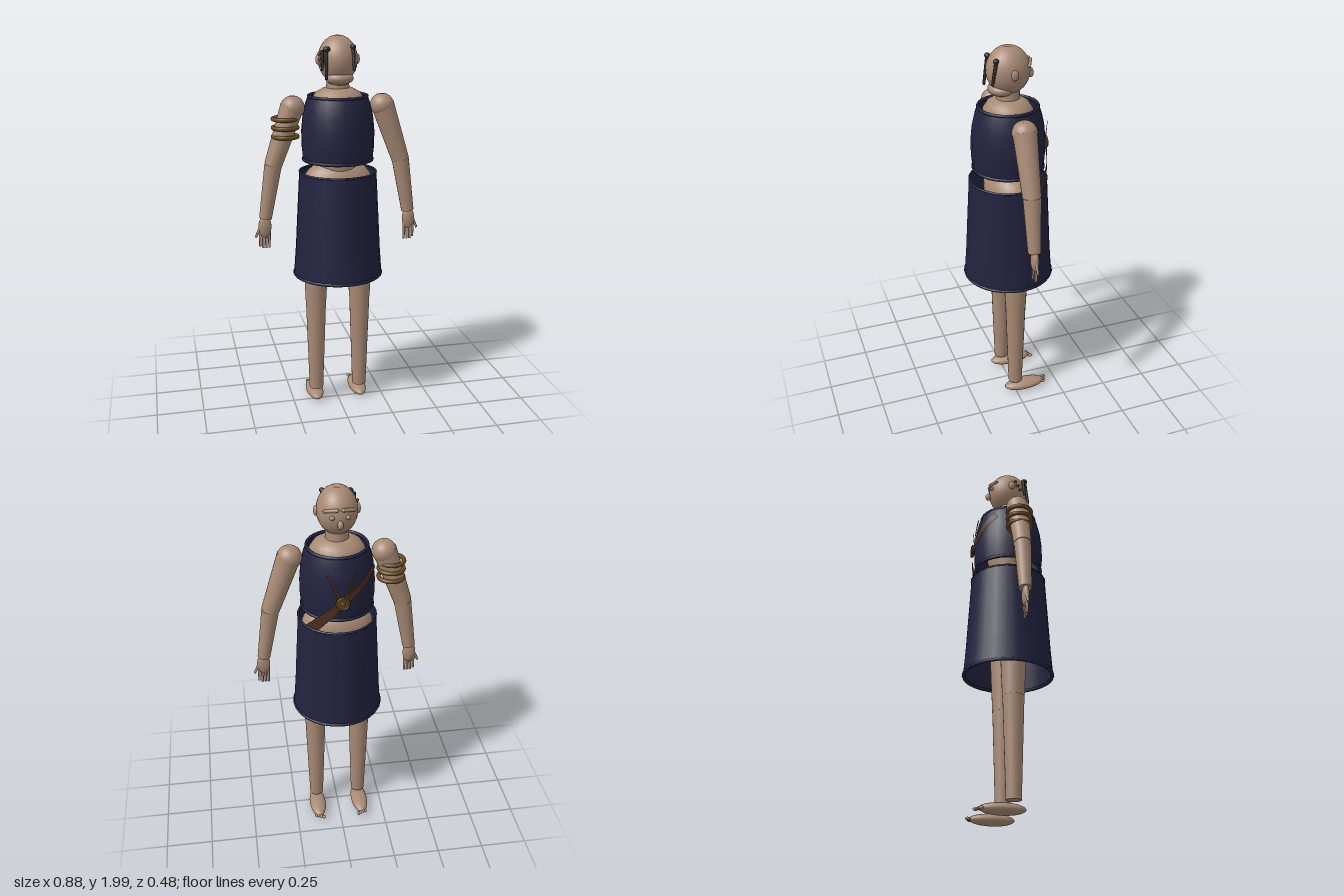
import * as THREE from 'three';

const mat = (name, color, side = THREE.FrontSide) => {
  const m = new THREE.MeshStandardMaterial({ color, side });
  m.name = name;
  return m;
};

export function createModel() {
  const root = new THREE.Group();
  root.name = 'robedFigure';
  const skin = mat('skin', 0xa88a75);
  const cloth = mat('navyCloth', 0x22223f, THREE.DoubleSide);
  const leather = mat('leather', 0x4a2c20, THREE.DoubleSide);
  const bronze = mat('bronze', 0x66481f);
  const hair = mat('darkHair', 0x2c2723);

  const add = (name, geo, material, parent = root) => {
    const m = new THREE.Mesh(geo, material);
    m.name = name;
    parent.add(m);
    return m;
  };
  const V = (x, y, z) => new THREE.Vector3(x, y, z);
  const ball = (name, p, s, material = skin, parent = root) => {
    const m = add(name, new THREE.SphereGeometry(1, 24, 16), material, parent);
    m.position.set(...p);
    m.scale.set(...s);
    return m;
  };
  // tapered round limb from a to b
  const limb = (name, a, b, ra, rb, material = skin, parent = root, sides = 20) => {
    const A = V(...a), B = V(...b);
    const m = add(name, new THREE.CylinderGeometry(rb, ra, A.distanceTo(B), sides), material, parent);
    m.position.copy(A).add(B).multiplyScalar(0.5);
    m.quaternion.setFromUnitVectors(V(0, 1, 0), B.sub(A).normalize());
    return m;
  };
  const lathe = (name, pts, material, sides = 24) =>
    add(name, new THREE.LatheGeometry(pts.map((p) => new THREE.Vector2(...p)), sides), material);
  const hoop = (name, r, tube, p, material) => {
    const m = add(name, new THREE.TorusGeometry(r, tube, 8, 28), material);
    m.rotation.x = Math.PI / 2;
    m.position.set(...p);
    return m;
  };
  // ball with a small dip at the top
  const dimpledBall = (name, p, s, parent = root) => {
    const pts = [];
    for (let i = 0; i <= 14; i++) {
      const a = -Math.PI / 2 + (i / 14) * Math.PI * 0.93;
      pts.push(new THREE.Vector2(i ? Math.cos(a) : 0, Math.sin(a)));
    }
    pts.push(new THREE.Vector2(0.2, 0.965), new THREE.Vector2(0, 0.92));
    const m = add(name, new THREE.LatheGeometry(pts, 24), skin, parent);
    m.position.set(...p);
    m.scale.set(...s);
  };

  // Torso, pelvis and neck
  const torso = lathe('torso', [[0.1, 1.25], [0.11, 1.38], [0.14, 1.5], [0.148, 1.6],
    [0.138, 1.68], [0.115, 1.715], [0.075, 1.738], [0, 1.745]], skin);
  torso.scale.z = 0.9;
  ball('pelvis', [0, 1.25, 0], [0.185, 0.125, 0.12]);
  limb('neck', [0, 1.7, 0], [0, 1.8, 0], 0.062, 0.055);

  // Head and face, looking toward -z
  dimpledBall('head', [0, 1.88, 0], [0.1, 0.12, 0.11]);
  ball('jaw', [0, 1.79, 0.035], [0.072, 0.036, 0.066]);
  ball('nose', [0, 1.85, -0.115], [0.014, 0.022, 0.017]);
  for (const s of [1, -1]) {
    ball('ear', [s * 0.102, 1.88, 0], [0.011, 0.026, 0.019]);
    ball('eye', [s * 0.037, 1.882, -0.101], [0.013, 0.011, 0.01]);
    limb('brow', [s * 0.07, 1.91, -0.083], [s * 0.014, 1.922, -0.108], 0.008, 0.009, skin, root, 10);
    ball('browEnd', [s * 0.07, 1.91, -0.083], [0.008, 0.008, 0.008]);
    ball('browEnd', [s * 0.014, 1.922, -0.108], [0.009, 0.009, 0.009]);
  }

  // Hair locks, one of them beaded
  limb('rightLock', [-0.075, 1.94, 0.078], [-0.078, 1.79, 0.098], 0.01, 0.007, hair, root, 8);
  limb('rightSideLock', [-0.092, 1.93, 0.065], [-0.094, 1.83, 0.075], 0.009, 0.006, hair, root, 8);
  limb('leftLock', [0.06, 1.95, 0.078], [0.062, 1.83, 0.1], 0.01, 0.007, hair, root, 8);
  ball('lockRoot', [-0.073, 1.935, 0.08], [0.018, 0.014, 0.014], hair);
  ball('lockRoot', [0.06, 1.945, 0.08], [0.014, 0.012, 0.014], hair);
  for (let i = 0; i < 3; i++)
    ball('bead', [-0.099, 1.91 - i * 0.025, 0.02 + i * 0.014], [0.009, 0.009, 0.009], bronze);

  // Bodice and skirt, open shells with rolled hems
  lathe('bodice', [[0.18, 1.375], [0.187, 1.44], [0.188, 1.52], [0.18, 1.6],
    [0.166, 1.66], [0.152, 1.698]], cloth);
  hoop('bodiceNeckHem', 0.149, 0.008, [0, 1.698, 0], cloth);
  hoop('bodiceLowerHem', 0.178, 0.009, [0, 1.375, 0], cloth);
  lathe('skirt', [[0.235, 0.755], [0.224, 0.9], [0.213, 1.1], [0.201, 1.31]], cloth);
  hoop('skirtHem', 0.231, 0.009, [0, 0.757, 0], cloth);
  hoop('skirtWaist', 0.198, 0.006, [0, 1.308, 0], cloth);

  // Straps wrapped around the bodice; t is the angle from -z toward +x
  const strap = (name, [t0, y0], [t1, y1], w0, w1, r) => {
    const g = new THREE.PlaneGeometry(1, 1, 8, 1);
    const p = g.attributes.position;
    const dx = (t1 - t0) * r, dy = y1 - y0, len = Math.hypot(dx, dy);
    for (let i = 0; i < p.count; i++) {
      const u = p.getX(i) + 0.5, v = p.getY(i) * (w0 + (w1 - w0) * u);
      const t = t0 + (t1 - t0) * u - (v * dy) / len / r;
      p.setXYZ(i, r * Math.sin(t), y0 + dy * u + (v * dx) / len, -r * Math.cos(t));
    }
    g.computeVertexNormals();
    add(name, g, leather);
  };
  strap('shoulderStrap', [-1.0, 1.63], [0.02, 1.48], 0.045, 0.04, 0.196);
  strap('waistStrap', [0.02, 1.48], [0.9, 1.3], 0.04, 0.06, 0.198);
  strap('leftCord', [0.36, 1.63], [0.02, 1.48], 0.012, 0.014, 0.195);
  strap('rightCord', [-0.36, 1.64], [0.02, 1.48], 0.012, 0.014, 0.195);

  // Round buckle
  const disc = limb('buckle', [0, 1.48, -0.193], [0, 1.48, -0.203], 0.033, 0.03, bronze);
  disc.name = 'buckle';
  add('buckleRim', new THREE.TorusGeometry(0.031, 0.005, 8, 24), bronze).position.set(0, 1.48, -0.202);
  ball('buckleBoss', [0, 1.48, -0.203], [0.012, 0.012, 0.007], bronze);

  // Arms, hands, legs and feet, mirrored
  for (const s of [1, -1]) {
    const arm = new THREE.Group();
    arm.name = s > 0 ? 'leftArm' : 'rightArm';
    root.add(arm);
    dimpledBall('shoulder', [s * 0.233, 1.645, 0], [0.062, 0.06, 0.062], arm);
    limb('upperArm', [s * 0.235, 1.65, 0], [s * 0.338, 1.355, 0], 0.06, 0.046, skin, arm);
    ball('elbow', [s * 0.338, 1.355, 0], [0.043, 0.043, 0.043], skin, arm);
    limb('forearm', [s * 0.338, 1.355, 0], [s * 0.384, 1.075, 0], 0.045, 0.033, skin, arm);
    ball('palm', [s * 0.388, 1.03, 0], [0.034, 0.06, 0.019], skin, arm);
    for (let i = 0; i < 4; i++) {
      const x = 0.365 + i * 0.016;
      limb('finger', [s * x, 1.01, 0], [s * (x + 0.002), 0.915 + (i === 3 ? 0.01 : 0), 0],
        0.008, 0.006, skin, arm, 8);
    }
    limb('thumb', [s * 0.405, 1.045, 0], [s * 0.437, 0.975, 0], 0.009, 0.006, skin, arm, 8);

    const leg = new THREE.Group();
    leg.name = s > 0 ? 'leftLeg' : 'rightLeg';
    root.add(leg);
    limb('thigh', [s * 0.115, 1.22, 0], [s * 0.121, 0.6, 0], 0.085, 0.056, skin, leg);
    ball('knee', [s * 0.121, 0.6, 0], [0.055, 0.055, 0.055], skin, leg);
    limb('shin', [s * 0.121, 0.6, 0], [s * 0.122, 0.08, 0], 0.055, 0.038, skin, leg);
    ball('foot', [s * 0.123, 0.036, -0.055], [0.046, 0.03, 0.116], skin, leg);
    for (let i = 0; i < 4; i++)
      ball('toe', [s * (0.102 + i * 0.014), 0.034, -0.175 + i * 0.005 + (i ? 0 : -0.004)],
        [0.008, 0.008, 0.014], skin, leg);
  }

  // Stacked arm rings on the right arm
  for (let i = 0; i < 3; i++)
    hoop('armRing', 0.062, 0.011, [-0.272, 1.59 - i * 0.045, 0], bronze);

  return root;
}
